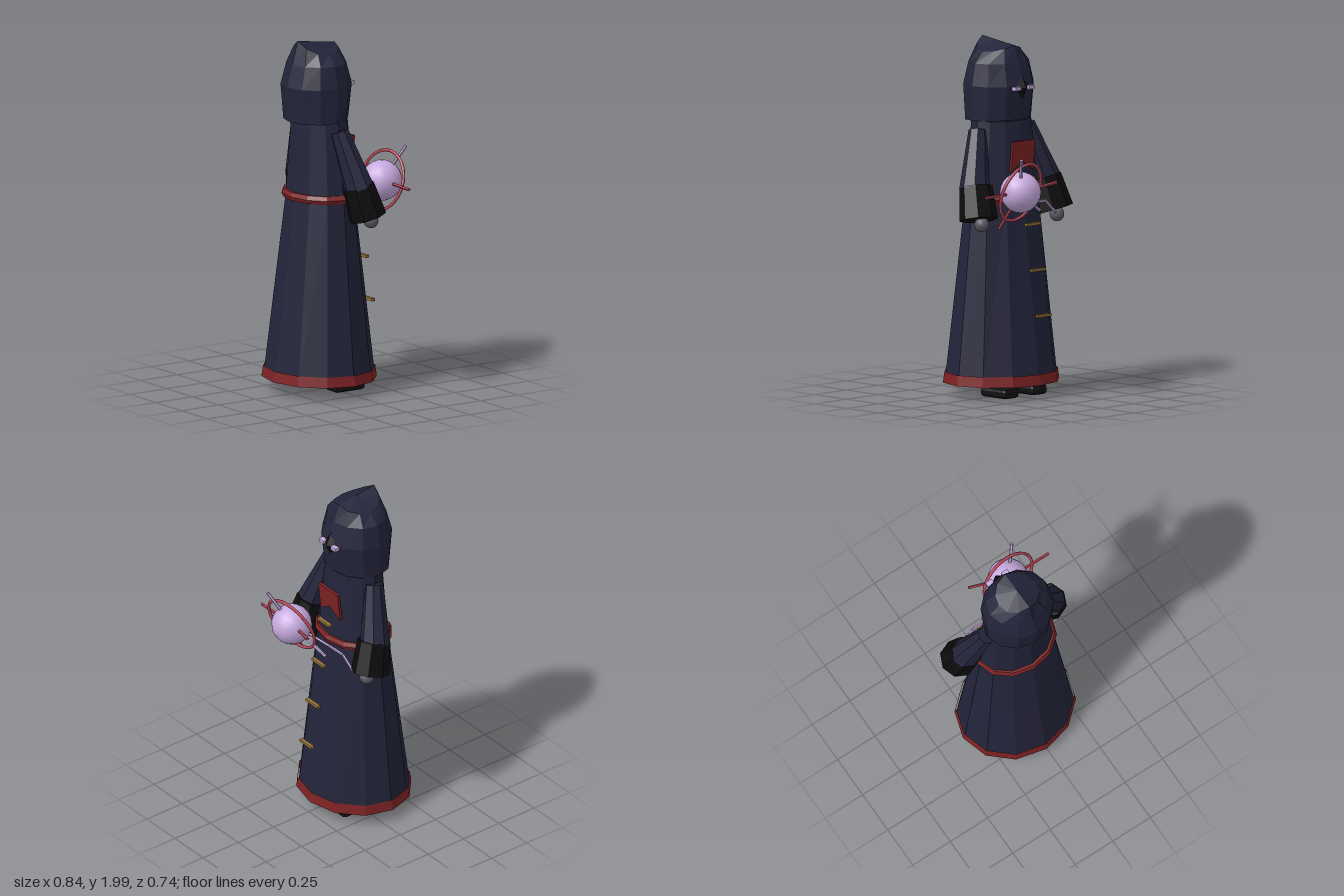
import * as THREE from 'three';
import { RoundedBoxGeometry } from 'three/addons/geometries/RoundedBoxGeometry.js';

const mat = (name, color) => Object.assign(new THREE.MeshStandardMaterial({ color }), { name });
const V = (x, y, z) => new THREE.Vector3(x, y, z);
const CX = -0.018; // the figure's own mirror plane
const SIDES = 12;

// Turns a geometry into flat facets
function flat(geo) {
  const g = geo.index ? geo.toNonIndexed() : geo;
  g.computeVertexNormals();
  return g;
}

// Elliptical ring; lift(angle) may raise single points
function ring(y, rx, rz, cz, lift = () => 0) {
  return Array.from({ length: SIDES }, (_, i) => {
    const a = (i / SIDES) * Math.PI * 2;
    return V(CX + rx * Math.sin(a), y + lift(a), cz + rz * Math.cos(a));
  });
}

// Skin over rings listed from bottom to top, closed by fans when capped
function loft(rings, capped = true) {
  const pts = rings.flat();
  const idx = [];
  for (let r = 0; r < rings.length - 1; r++) {
    for (let i = 0; i < SIDES; i++) {
      const j = (i + 1) % SIDES;
      const a = r * SIDES + i, b = r * SIDES + j;
      idx.push(a, b, b + SIDES, a, b + SIDES, a + SIDES);
    }
  }
  if (capped) {
    const last = (rings.length - 1) * SIDES;
    for (const [base, up] of [[0, false], [last, true]]) {
      // the fan's hub keeps the height of the front-to-back ridge
      const hub = pts[base].clone().add(pts[base + SIDES / 2]).multiplyScalar(0.5);
      const c = pts.push(hub) - 1;
      for (let i = 0; i < SIDES; i++) {
        const a = base + i, b = base + ((i + 1) % SIDES);
        idx.push(...(up ? [c, a, b] : [c, b, a]));
      }
    }
  }
  const g = new THREE.BufferGeometry().setFromPoints(pts);
  g.setIndex(idx);
  return flat(g);
}

// Tapered round bar between two points
function bar(from, to, r0, r1, sides) {
  const dir = to.clone().sub(from);
  const g = new THREE.CylinderGeometry(r1, r0, dir.length(), sides);
  g.applyQuaternion(new THREE.Quaternion().setFromUnitVectors(V(0, 1, 0), dir.normalize()));
  const mid = from.clone().add(to).multiplyScalar(0.5);
  return flat(g.translate(mid.x, mid.y, mid.z));
}

export function createModel() {
  const cloth = mat('navy cloth', 0x23243a);
  const trim = mat('red trim', 0x7d2224);
  const black = mat('black', 0x0c0c0d);
  const leather = mat('dark leather', 0x131212);
  const gold = mat('old gold', 0x96723a);
  const lilac = mat('lilac glow', 0xc6aade);
  const rose = mat('rose glow', 0xb8475a);
  const skin = mat('grey skin', 0x5c5a60);

  const model = new THREE.Group();
  const add = (name, geo, material, parent = model) => {
    const m = new THREE.Mesh(geo, material);
    m.name = name;
    parent.add(m);
    return m;
  };

  // Robe with hem and belt
  add('robe', loft([
    ring(0.082, 0.338, 0.3, 0.055),
    ring(1.1, 0.232, 0.176, 0.05),
    ring(1.55, 0.187, 0.145, 0.054),
  ]), cloth);
  trim.side = THREE.DoubleSide;
  add('hem', loft([ring(0.08, 0.348, 0.31, 0.055), ring(0.14, 0.34, 0.301, 0.055)], false), trim);
  const belt = new THREE.TorusGeometry(0.22, 0.027, 6, SIDES).rotateX(Math.PI / 2).scale(1, 1, 0.8);
  add('belt', flat(belt), trim).position.set(CX, 1.12, 0.052);

  // Hood: the crown is a ridge that peaks towards +z
  const ridge = (a) => (0.0525 + 0.0175 * Math.cos(a)) * (1 - Math.abs(Math.sin(a)));
  add('hood', loft([
    ring(1.55, 0.198, 0.173, 0.078, (a) => -0.005 * Math.cos(a)),
    ring(1.745, 0.207, 0.195, 0.075),
    ring(1.87, 0.182, 0.16, 0.075),
    ring(1.93, 0.123, 0.125, 0.075, ridge),
  ]), cloth);

  // Face: a dark wedge poking out, with a glowing eye on each side
  add('face', flat(new THREE.OctahedronGeometry(1).scale(0.05, 0.07, 0.035)), black)
    .position.set(CX, 1.735, -0.107);
  for (const s of [-1, 1]) {
    add('eye', new THREE.BoxGeometry(0.042, 0.02, 0.03), lilac).position.set(CX + s * 0.052, 1.735, -0.12);
  }

  // Arms and feet
  for (const s of [-1, 1]) {
    const arm = new THREE.Group();
    arm.name = s > 0 ? 'leftArm' : 'rightArm';
    model.add(arm);
    const at = (x, y, z) => V(CX + s * x, y, z);
    add('sleeve', bar(at(0.285, 1.18, -0.02), at(0.187, 1.5, 0.05), 0.085, 0.052, 8), cloth, arm);
    add('cuff', bar(at(0.298, 1.02, -0.066), at(0.272, 1.2, -0.018), 0.108, 0.092, 8), black, arm);
    add('hand', new THREE.SphereGeometry(0.042, 12, 8), skin, arm).position.copy(at(0.296, 0.996, -0.088));
    add('foot', flat(new RoundedBoxGeometry(0.114, 0.055, 0.2, 1, 0.018)), leather)
      .position.set(CX + s * 0.11, 0.033, -0.045);
  }

  // Swallow-tailed pennant on the chest
  const tail = new THREE.Shape([
    [-0.086, 0.085], [-0.086, -0.085], [0, -0.03], [0.086, -0.085], [0.086, 0.085],
  ].map(([x, y]) => new THREE.Vector2(x, y)));
  const pennant = add('pennant',
    new THREE.ExtrudeGeometry(tail, { depth: 0.016, bevelEnabled: false }).translate(0, 0, -0.008), trim);
  pennant.position.set(CX, 1.355, -0.112);
  pennant.rotation.x = -0.1;

  // Row of clasps down the robe
  for (let i = 0; i < 4; i++) {
    add('clasp', new THREE.BoxGeometry(0.106, 0.015, 0.021), gold)
      .position.set(CX, 1.232 - i * 0.252, -0.151 - i * 0.042);
  }

  // Floating orb with ring and rays
  const orb = V(0.143, 1.18, -0.257);
  add('orb', new THREE.SphereGeometry(0.114, 16, 12), lilac).position.copy(orb);
  const halo = add('orbRing', new THREE.TorusGeometry(0.17, 0.009, 6, 32), rose);
  halo.position.copy(orb);
  halo.rotation.set(-0.32, 0.12, 0);
  const rays = [
    [0.412, 1.175, -0.255, rose], [-0.078, 1.22, -0.32, rose], [0.2, 0.97, -0.145, rose],
    [0.235, 1.38, -0.355, lilac], [-0.075, 1.05, -0.19, lilac],
  ];
  for (const [x, y, z, m] of rays) add('ray', bar(orb, V(x, y, z), 0.009, 0.009, 5), m);

  // Crooked tether from the hand to the orb
  const path = [V(-0.313, 1, -0.09), V(-0.25, 1.02, -0.135), V(-0.17, 1.09, -0.143),
    V(-0.055, 1.09, -0.146), V(0.06, 1.15, -0.215)];
  for (let i = 0; i < path.length - 1; i++) {
    add('tether', bar(path[i], path[i + 1], 0.008, 0.008, 5), lilac);
  }
  return model;
}
